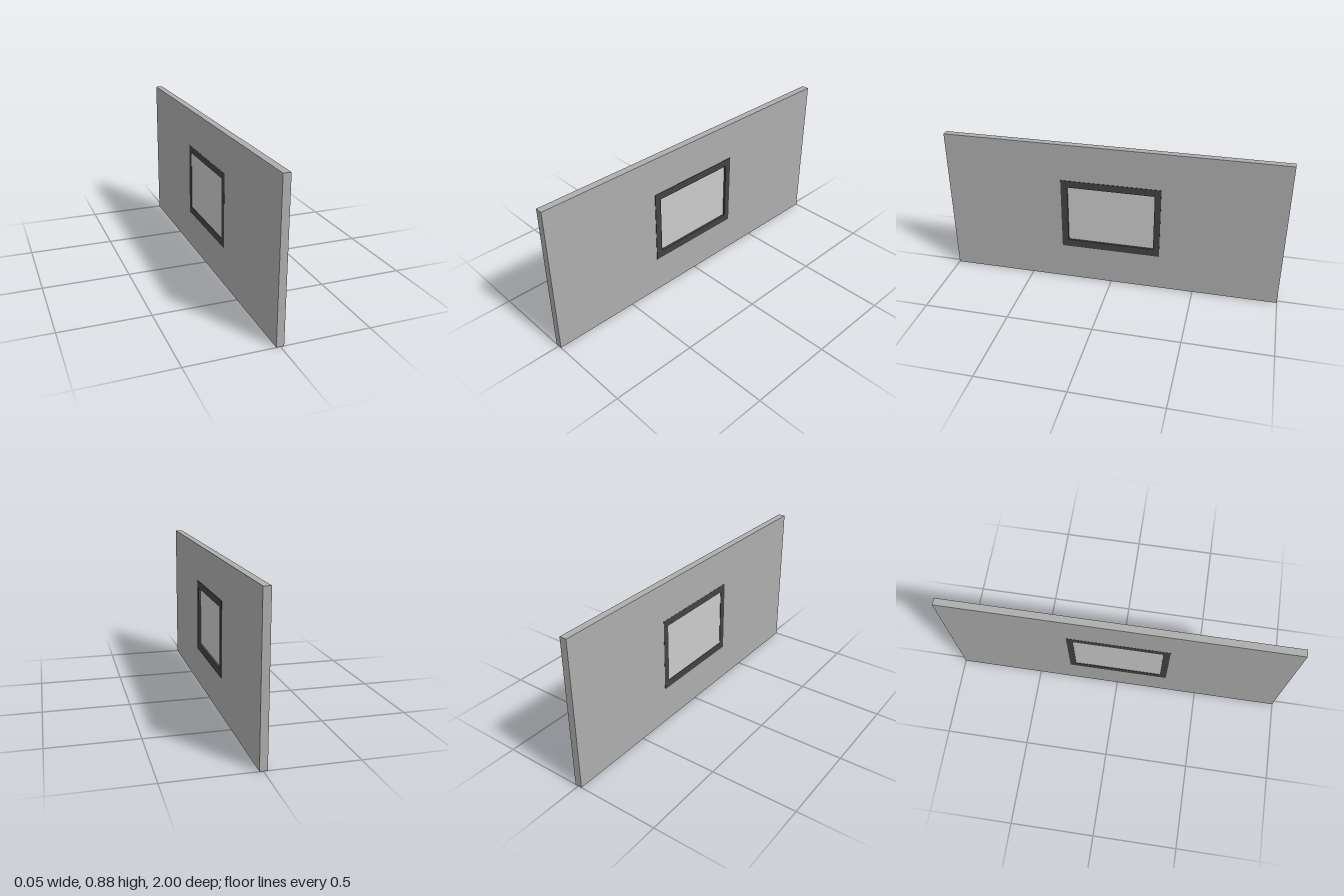
import * as THREE from 'three';

// Rectangle outline as [z0, z1, y0, y1]
const WALL = [-1, 1, 0, 0.885];
const OUTER = [-0.291, 0.301, 0.222, 0.662];
const INNER = [-0.254, 0.262, 0.267, 0.62];

// Rectangle drawn in the side plane (shape x runs along -z)
function trace(path, [z0, z1, y0, y1]) {
  path.moveTo(-z1, y0);
  path.lineTo(-z0, y0);
  path.lineTo(-z0, y1);
  path.lineTo(-z1, y1);
  path.closePath();
  return path;
}

// Slab between x0 and x1, with an optional rectangular opening
function slab(name, color, outline, opening, x0, x1) {
  const shape = trace(new THREE.Shape(), outline);
  if (opening) shape.holes.push(trace(new THREE.Path(), opening));
  const geometry = new THREE.ExtrudeGeometry(shape, { depth: x1 - x0, bevelEnabled: false });
  geometry.rotateY(Math.PI / 2).translate(x0, 0, 0);
  const mesh = new THREE.Mesh(geometry, new THREE.MeshStandardMaterial({ color }));
  mesh.name = name;
  return mesh;
}

export function createModel() {
  const model = new THREE.Group();
  model.name = 'wallWithWindow';
  model.add(
    // Wall panel with the window opening
    slab('wall', 0xaeaeae, WALL, OUTER, -0.022, 0.0195),
    // Frame lining the opening, standing slightly proud of the wall
    slab('windowFrame', 0x434343, OUTER, INNER, -0.0225, 0.0225),
    // Pane set back inside the frame
    slab('windowPane', 0xcccccc, INNER, null, -0.02, 0.01)
  );
  return model;
}
